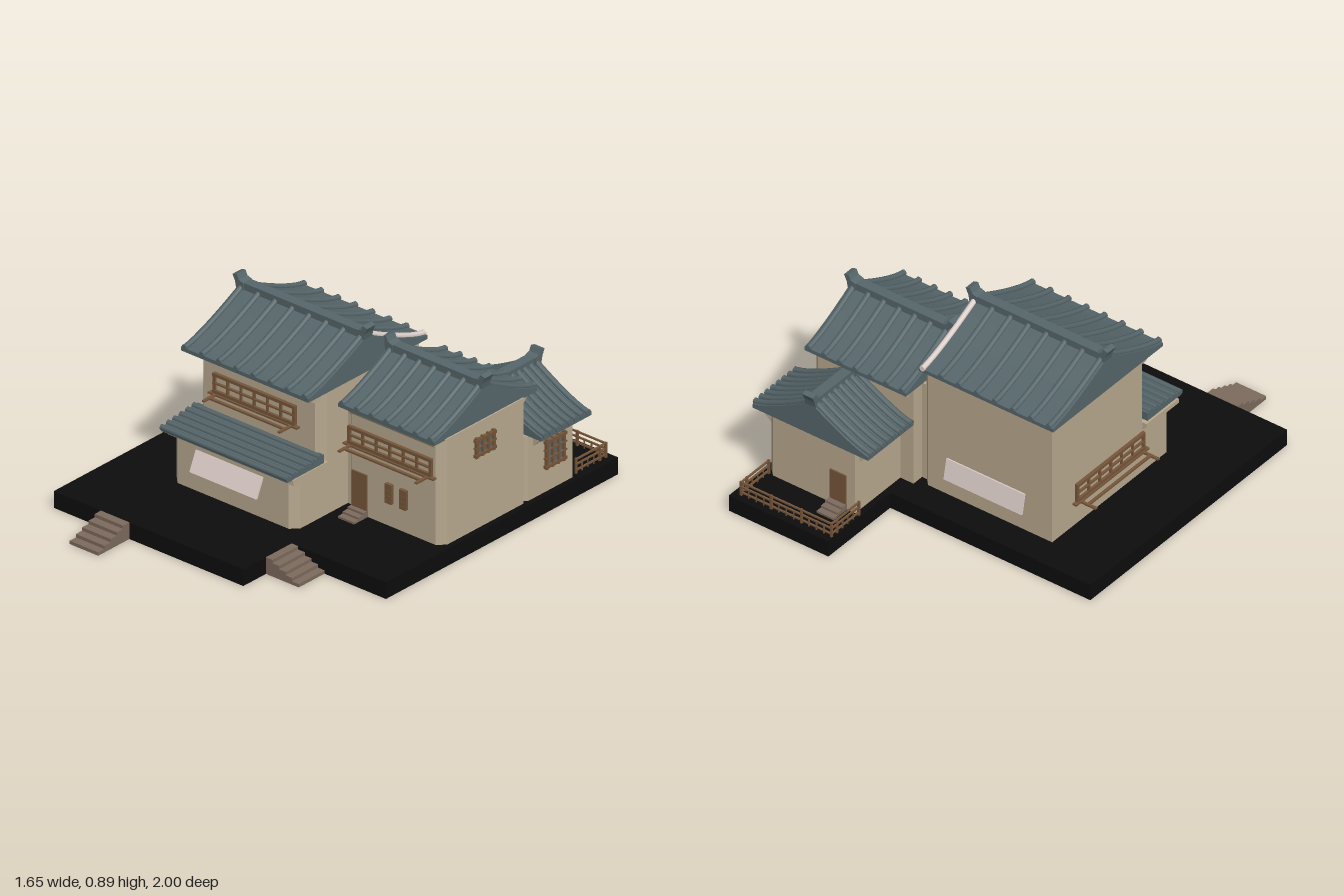
import * as THREE from 'three';

const mat = (name, color, side = THREE.FrontSide) => {
  const m = new THREE.MeshStandardMaterial({ color, side });
  m.name = name;
  return m;
};

export function createModel() {
  const model = new THREE.Group();
  model.name = 'courtyardHouse';
  const plaster = mat('tan plaster', 0xb9a98f);
  const slate = mat('slate tile', 0x56666a);
  const wood = mat('brown wood', 0x76563a);
  const stone = mat('step stone', 0x7d6a5d);
  const ground = mat('black base', 0x0d0d0d);
  const pale = mat('pale board', 0xdfd0cb);

  const add = (parent, name, geo, m) => {
    const mesh = new THREE.Mesh(geo, m);
    mesh.name = name;
    parent.add(mesh);
    return mesh;
  };
  // box given by its limits
  const box = (parent, name, m, x0, x1, y0, y1, z0, z1) => {
    const mesh = add(parent, name, new THREE.BoxGeometry(x1 - x0, y1 - y0, z1 - z0), m);
    mesh.position.set((x0 + x1) / 2, (y0 + y1) / 2, (z0 + z1) / 2);
    return mesh;
  };
  const extrude = (pts, depth) => new THREE.ExtrudeGeometry(
    new THREE.Shape(pts.map(p => new THREE.Vector2(p[0], p[1]))), { depth, bevelEnabled: false });
  // upright prism from an x,z outline
  const prism = (name, m, pts, y0, y1) => {
    const geo = extrude(pts.map(([x, z]) => [x, -z]), y1 - y0).rotateX(-Math.PI / 2);
    add(model, name, geo, m).position.y = y0;
  };
  const group = (name, x, y, z, ry = 0) => {
    const g = new THREE.Group();
    g.name = name;
    g.position.set(x, y, z);
    g.rotation.y = ry;
    model.add(g);
    return g;
  };

  // Stepped base slab and its stairs
  prism('base', ground, [[-0.825, -0.57], [0.24, -0.57], [0.24, -1], [0.77, -1],
    [0.77, 0.49], [0.24, 0.49], [0.24, 0.8], [-0.825, 0.8]], 0, 0.08);
  for (let i = 0; i < 5; i++) {
    const h = 0.08 * (5 - i) / 5;
    box(model, 'frontStair', stone, -0.56, -0.4, 0, h, 0.8 + i * 0.04, 0.84 + i * 0.04);
    box(model, 'sideStair', stone, 0.24 + i * 0.037, 0.277 + i * 0.037, 0, h, 0.49, 0.655);
  }

  // Walls with chamfered corners
  const c = 0.035;
  const walls = (name, x0, x1, z0, z1, y1) => prism(name, plaster, [
    [x0, z0], [x1 - c, z0], [x1, z0 + c], [x1, z1 - c], [x1 - c, z1], [x0 + c, z1], [x0, z1 - c]], 0.08, y1);
  walls('mainWalls', -0.515, 0.18, -0.43, 0.23, 0.675);
  walls('shopWalls', -0.515, 0.18, 0.1, 0.4, 0.335);
  walls('wingWalls', 0.2, 0.742, -0.46, 0.1, 0.585);
  walls('annexWalls', 0.27, 0.742, -0.775, -0.42, 0.39);
  box(model, 'wallLink', plaster, 0.15, 0.23, 0.08, 0.58, -0.4, 0.06);

  // Gabled roof, ridge along local z
  function roof(name, pos, ry, { half, W, ye, H, wallHalf, drop, ribs, paleRib }) {
    const g = group(name, pos[0], 0, pos[1], ry);
    const yAt = u => ye + H * Math.pow(1 - u, 1.3);
    const outline = [[-W, ye - 0.018]];
    outline.push([W, ye - 0.018]);
    for (let i = 10; i >= -10; i--) outline.push([W * i / 10, yAt(Math.abs(i) / 10)]);
    add(g, 'roofBody', extrude(outline, 2 * half), slate).position.z = -half;
    // flared soffit below the eaves
    add(g, 'soffit', extrude([[-wallHalf, ye - drop], [wallHalf, ye - drop],
      [W - 0.01, ye - 0.017], [0.01 - W, ye - 0.017]], 2 * half - 0.06), plaster).position.z = 0.03 - half;
    // round tile ribs down both slopes
    for (const s of [-1, 1]) {
      const pts = [];
      for (let k = 0; k <= 8; k++) pts.push(new THREE.Vector3(s * W * k / 8, yAt(k / 8) + 0.004, 0));
      const tube = new THREE.TubeGeometry(new THREE.CatmullRomCurve3(pts), 10, 0.013, 8);
      for (let i = 0; i < ribs; i++) {
        const z = (i / (ribs - 1) * 2 - 1) * (half - 0.022);
        const m = paleRib && s > 0 && i === ribs - 1 ? pale : slate;
        add(g, 'tileRib', tube, m).position.z = z;
        const cap = add(g, 'ribEnd', new THREE.CylinderGeometry(0.014, 0.014, 0.01, 8).rotateZ(Math.PI / 2), m);
        cap.position.set(s * W, ye + 0.004, z);
      }
    }
    // ridge with upturned ends
    const ry0 = ye + H - 0.025, top = ye + H + 0.02;
    box(g, 'ridge', slate, -0.024, 0.024, ry0, top, -half, half);
    for (const s of [-1, 1]) {
      const horn = extrude([[half - 0.04, ry0], [half - 0.002, ry0], [half + 0.006, top - 0.005],
        [half + 0.02, top + 0.025], [half - 0.004, top + 0.032], [half - 0.015, top + 0.008], [half - 0.04, top]], 0.056);
      const h = add(g, 'ridgeHorn', horn.translate(0, 0, -0.028), slate);
      h.rotation.y = -s * Math.PI / 2;
    }
  }
  roof('mainRoof', [-0.167, -0.055], Math.PI / 2,
    { half: 0.358, W: 0.382, ye: 0.688, H: 0.155, wallHalf: 0.3, drop: 0.065, ribs: 8, paleRib: true });
  roof('wingRoof', [0.465, -0.19], Math.PI / 2,
    { half: 0.27, W: 0.33, ye: 0.597, H: 0.148, wallHalf: 0.28, drop: 0.065, ribs: 7 });
  roof('annexRoof', [0.508, -0.615], 0,
    { half: 0.16, W: 0.308, ye: 0.408, H: 0.15, wallHalf: 0.235, drop: 0.075, ribs: 8 });

  // Shop awning with lengthwise ribs, and the cornice under it
  const awning = group('awning', -0.17, 0, 0);
  add(awning, 'awningSlab', extrude([[-0.22, 0.335], [-0.22, 0.378], [-0.455, 0.352], [-0.455, 0.335]], 0.71)
    .translate(0, 0, -0.355).rotateY(Math.PI / 2), slate);
  for (let i = 0; i < 6; i++) {
    const r = add(awning, 'awningRib', new THREE.CylinderGeometry(0.013, 0.013, 0.714, 8).rotateZ(Math.PI / 2), slate);
    r.position.set(0, 0.375 - i * 0.0045, 0.245 + i * 0.041);
  }
  box(model, 'cornice', plaster, -0.535, 0.19, 0.315, 0.337, 0.2, 0.425);
  box(model, 'corniceLower', plaster, -0.525, 0.185, 0.303, 0.315, 0.2, 0.412);

  // Window in a local plane facing +z; over = how far the bars stick out
  function windowFrame(name, x, y, z, ry, w, h, cols, rows, pane, over = 0, shelf = 0) {
    const g = group(name, x, y, z, ry), t = 0.006;
    box(g, 'pane', pane, -w / 2, w / 2, -h / 2, h / 2, -0.002, 0.004);
    for (let i = 0; i <= cols; i++) {
      const px = (i / cols - 0.5) * (w - 2 * t), b = i % cols ? t * 0.8 : t * 1.2;
      box(g, 'upright', wood, px - b, px + b, -h / 2 - over, h / 2 + over, 0, 0.014);
    }
    for (let i = 0; i <= rows; i++) {
      const py = (i / rows - 0.5) * (h - 2 * t), b = i % rows ? t * 0.6 : t * 1.2;
      box(g, 'crossbar', wood, -w / 2 - over, w / 2 + over, py - b, py + b, 0, 0.016);
    }
    // open shelf of arms and a rail
    if (shelf) {
      const y0 = -h / 2 - 0.01, y1 = y0 + 0.008;
      box(g, 'sill', wood, -w / 2 - 0.02, w / 2 + 0.02, y0, y1, 0, 0.022);
      box(g, 'shelfRail', wood, -w / 2 + 0.01, w / 2 - 0.01, y0, y1, 0.048, 0.062);
      for (const s of [-1, 1]) {
        const ax = s * (w / 2 - 0.018);
        box(g, 'shelfArm', wood, ax - 0.007, ax + 0.007, y0, y1, 0, shelf);
      }
    }
  }
  windowFrame('mainWindow', -0.19, 0.52, 0.23, 0, 0.46, 0.092, 6, 2, plaster, 0, 0.095);
  windowFrame('wingWindow', 0.458, 0.447, 0.1, 0, 0.468, 0.082, 6, 2, plaster, 0, 0.09);
  windowFrame('leftWindow', -0.515, 0.248, -0.035, -Math.PI / 2, 0.47, 0.088, 6, 2, plaster, 0, 0.1);
  for (const x of [0.453, 0.533])
    windowFrame('slitWindow', x, 0.24, 0.1, 0, 0.036, 0.09, 2, 3, plaster);
  windowFrame('wingSideWindow', 0.742, 0.472, -0.17, Math.PI / 2, 0.12, 0.084, 3, 2, slate, 0.007);
  windowFrame('annexSideWindow', 0.742, 0.262, -0.62, Math.PI / 2, 0.12, 0.13, 3, 3, slate, 0.007);

  // Doors with their small steps
  box(model, 'wingDoor', wood, 0.24, 0.325, 0.11, 0.28, 0.08, 0.107);
  box(model, 'annexDoor', wood, 0.315, 0.4, 0.11, 0.26, -0.782, -0.76);
  for (let i = 0; i < 3; i++) {
    const h = 0.11 - i * 0.01;
    box(model, 'wingDoorStep', stone, 0.238, 0.327, 0.08, h, 0.1, 0.13 + i * 0.03);
    box(model, 'annexDoorStep', stone, 0.313, 0.402, 0.08, h, -0.81 - i * 0.03, -0.775);
  }

  // Sloping boards, leaning out at the foot
  const board = (name, x, y, z, w, tilt) => {
    const b = add(model, name, new THREE.BoxGeometry(w, 0.1, 0.009), pale);
    b.position.set(x, y, z);
    b.rotation.x = tilt;
  };
  board('frontBoard', -0.182, 0.235, 0.426, 0.375, -0.42);
  board('backBoard', -0.167, 0.225, -0.446, 0.415, 0.2);

  // Railing round the back terrace
  function railing(x, z, ry, len) {
    const g = group('railing', x, 0.08, z, ry);
    for (const y of [0.012, 0.04, 0.064])
      box(g, 'rail', wood, -len / 2, len / 2, y, y + 0.007, -0.004, 0.004);
    const n = Math.round(len / 0.04);
    for (let i = 0; i <= n; i++) {
      const px = (i / n - 0.5) * len, post = i % 4 === 0 || i === n;
      const b = post ? 0.005 : 0.0025;
      box(g, 'post', wood, px - b, px + b, 0, post ? 0.073 : 0.045, -b, b);
    }
  }
  railing(0.49, -0.965, 0, 0.48);
  railing(0.25, -0.87, Math.PI / 2, 0.19);
  railing(0.73, -0.87, Math.PI / 2, 0.19);

  return model;
}
